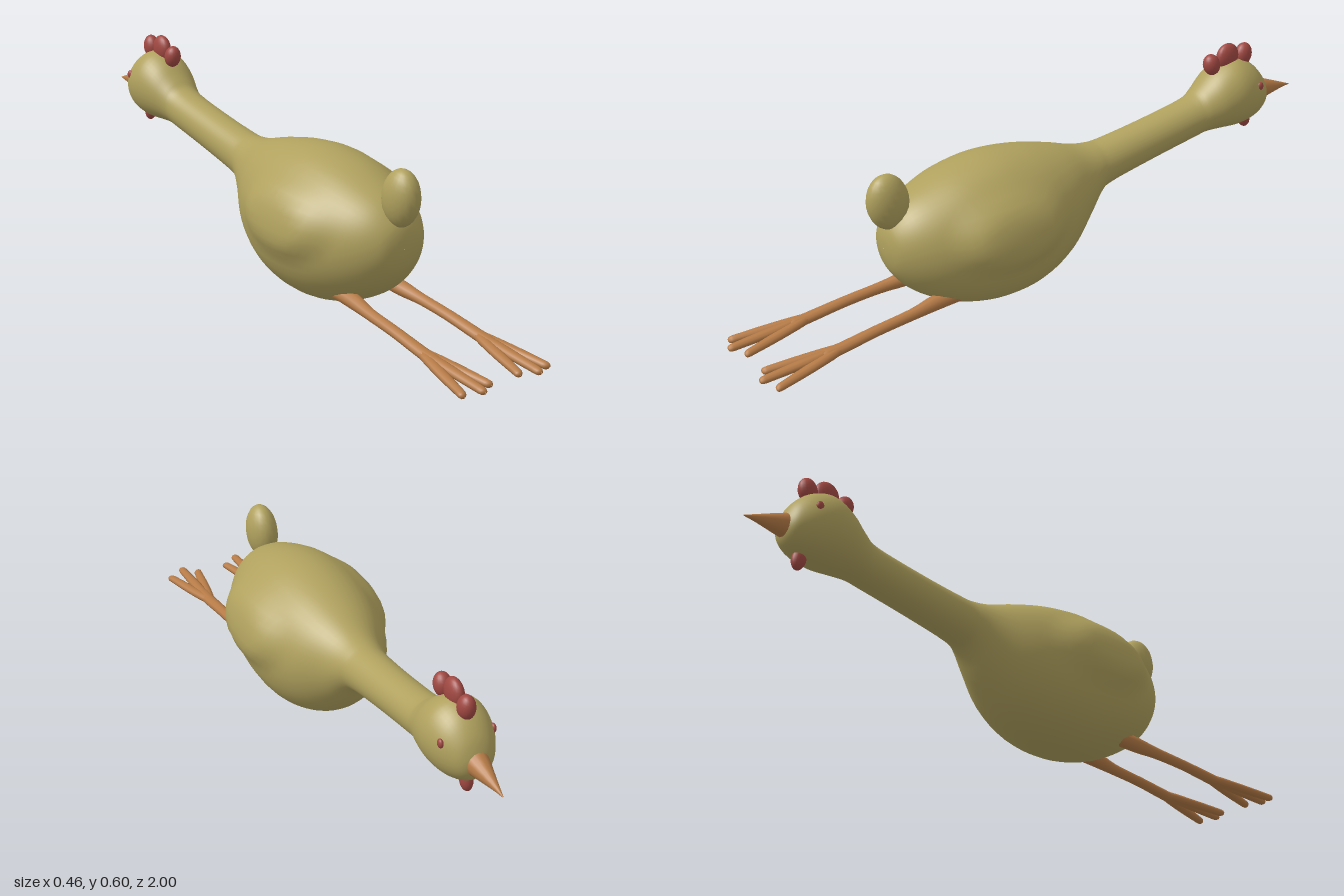
import * as THREE from 'three';

const skin = new THREE.MeshStandardMaterial({ name: 'dull yellow', color: 0xb0a15e });
const horn = new THREE.MeshStandardMaterial({ name: 'orange brown', color: 0xb67b46 });
const red = new THREE.MeshStandardMaterial({ name: 'comb red', color: 0xa04842 });

function catmull(p0, p1, p2, p3, t) {
  const v0 = (p2 - p0) / 2, v1 = (p3 - p1) / 2;
  return (2 * p1 - 2 * p2 + v0 + v1) * t ** 3 + (-3 * p1 + 3 * p2 - 2 * v0 - v1) * t * t + v0 * t + p1;
}

// Smooth closed skin over elliptical sections [z, cx, cy, rx, ry], z increasing
function loft(sections, steps, sides, rule) {
  const pos = [], idx = [], last = sections.length - 1;
  const at = (i) => sections[Math.min(Math.max(i, 0), last)];
  const rings = last * steps + 1;
  for (let r = 0; r < rings; r++) {
    const i = Math.min(Math.floor(r / steps), last - 1), t = r / steps - i;
    const [z, cx, cy, rx, ry] = at(i).map((v, k) => catmull(at(i - 1)[k], v, at(i + 1)[k], at(i + 2)[k], t));
    for (let j = 0; j < sides; j++) {
      const a = (j / sides) * Math.PI * 2;
      const p = new THREE.Vector3(cx + Math.cos(a) * Math.max(rx, 0.0005), cy + Math.sin(a) * Math.max(ry, 0.0005), z);
      if (rule) rule(p);
      pos.push(p.x, p.y, p.z);
    }
  }
  for (let r = 0; r < rings - 1; r++) {
    for (let j = 0; j < sides; j++) {
      const a = r * sides + j, b = r * sides + ((j + 1) % sides);
      idx.push(a, b, a + sides, b, b + sides, a + sides);
    }
  }
  const g = new THREE.BufferGeometry();
  g.setAttribute('position', new THREE.Float32BufferAttribute(pos, 3));
  g.setIndex(idx);
  g.computeVertexNormals();
  return g;
}

export function createModel() {
  const model = new THREE.Group();
  model.name = 'rubberChicken';

  function add(name, geometry, material, parent = model) {
    const mesh = new THREE.Mesh(geometry, material);
    mesh.name = name;
    parent.add(mesh);
    return mesh;
  }
  function blob(name, material, [x, y, z], [rx, ry, rz], tilt = 0) {
    const mesh = add(name, new THREE.SphereGeometry(1, 20, 14), material);
    mesh.position.set(x, y, z);
    mesh.scale.set(rx, ry, rz);
    mesh.rotation.x = tilt;
    return mesh;
  }

  // Head, neck and body in one skin: [z, top, bottom, half width]
  const profile = [
    [-0.878, 0.411, 0.409, 0.001], [-0.868, 0.447, 0.37, 0.04], [-0.845, 0.49, 0.345, 0.066],
    [-0.8, 0.53, 0.327, 0.089], [-0.74, 0.547, 0.321, 0.099], [-0.68, 0.522, 0.325, 0.09],
    [-0.625, 0.476, 0.326, 0.072], [-0.575, 0.447, 0.317, 0.065], [-0.4, 0.416, 0.285, 0.065],
    [-0.25, 0.396, 0.254, 0.07], [-0.2, 0.395, 0.228, 0.08], [-0.14, 0.405, 0.152, 0.108],
    [-0.05, 0.433, 0.068, 0.16], [0.06, 0.458, 0.018, 0.197], [0.18, 0.469, 0.005, 0.208],
    [0.3, 0.453, 0.026, 0.2], [0.4, 0.42, 0.07, 0.167], [0.47, 0.385, 0.12, 0.125],
    [0.515, 0.34, 0.178, 0.078], [0.531, 0.3, 0.225, 0.036], [0.534, 0.263, 0.261, 0.001],
  ];
  const sections = profile.map(([z, top, bottom, w]) => [z, 0, (top + bottom) / 2, w, (top - bottom) / 2]);
  // Folded wings swell out of the flanks
  const wings = (p) => {
    const d = Math.hypot((p.z - 0.2) / 0.22, (p.y - 0.295) / 0.13);
    p.x += Math.sign(p.x) * 0.024 * THREE.MathUtils.smoothstep(1 - d, 0, 0.5);
  };
  add('body', loft(sections, 4, 48, wings), skin);

  // Tail stub
  blob('tail', skin, [0, 0.41, 0.515], [0.048, 0.088, 0.066], 0.15);

  // Beak
  add('beak', loft([
    [-1, 0, 0.393, 0.001, 0.001], [-0.95, 0, 0.401, 0.013, 0.014],
    [-0.87, 0, 0.411, 0.034, 0.036], [-0.84, 0, 0.413, 0.036, 0.037],
  ], 3, 16), horn);

  // Comb of three lobes, and wattle under the beak
  blob('combBack', red, [0, 0.543, -0.667], [0.026, 0.036, 0.028], 0.3);
  blob('combMiddle', red, [0, 0.555, -0.73], [0.023, 0.045, 0.042]);
  blob('combFront', red, [0, 0.548, -0.795], [0.025, 0.039, 0.03], -0.2);
  blob('wattle', red, [0, 0.325, -0.812], [0.019, 0.036, 0.022], 0.25);

  for (const s of [1, -1]) {
    const side = s > 0 ? 'left' : 'right';
    blob(side + 'Eye', red, [s * 0.08, 0.463, -0.805], [0.008, 0.014, 0.012]);

    // Stretched-out leg, swelling where it leaves the body
    const leg = new THREE.Group();
    leg.name = side + 'Leg';
    model.add(leg);
    add('shank', loft([
      [0.34, s * 0.084, 0.088, 0.026, 0.025], [0.42, s * 0.086, 0.083, 0.024, 0.024],
      [0.5, s * 0.093, 0.075, 0.018, 0.018], [0.62, s * 0.097, 0.065, 0.018, 0.016],
      [0.74, s * 0.1, 0.05, 0.02, 0.016], [0.8, s * 0.1, 0.045, 0.02, 0.015],
      [0.82, s * 0.1, 0.043, 0.001, 0.001],
    ], 3, 10), horn, leg);

    // Three spread toes
    for (const [name, x, z, y] of [['outerToe', 0.152, 0.975, 0.027], ['middleToe', 0.1, 1, 0.034], ['innerToe', 0.052, 0.97, 0.029]]) {
      const along = (t, rx, ry) => [
        0.72 + (z - 0.72) * t, s * (0.1 + (x - 0.1) * t), 0.052 + (y - 0.052) * t, rx, ry,
      ];
      add(name, loft([
        along(0, 0.004, 0.004), along(0.12, 0.014, 0.013), along(0.5, 0.017, 0.013),
        along(0.85, 0.014, 0.012), along(0.97, 0.012, 0.01), along(1, 0.001, 0.001),
      ], 3, 10), horn, leg);
    }
  }
  return model;
}
